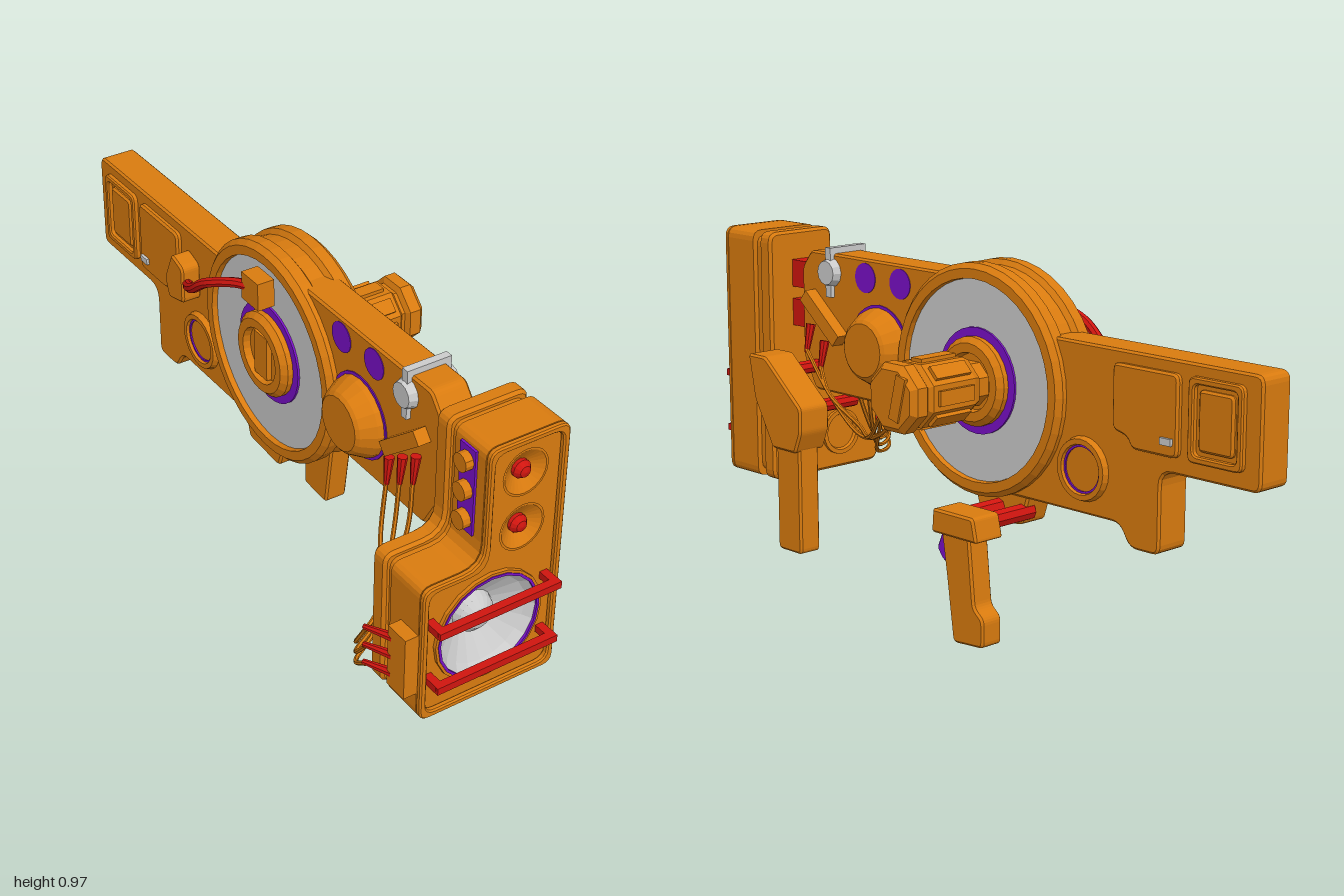
import * as THREE from 'three';

const material = (color) => new THREE.MeshStandardMaterial({ color, flatShading: true, side: THREE.DoubleSide });
const ORANGE = material(0xd97b0f), RED = material(0xd0150f), PURPLE = material(0x7a10c8), GREY = material(0xcccccc);
const CX = -0.013; // middle plane of the body

// Closed outline with softened corners; each point may carry its own radius.
function rounded(points, r, Type = THREE.Shape) {
  const path = new Type();
  const v = points.map(p => new THREE.Vector2(p[0], p[1]));
  v.forEach((p, i) => {
    const a = v[(i + v.length - 1) % v.length], b = v[(i + 1) % v.length];
    const rad = points[i][2] ?? r;
    const toward = q => p.clone().add(q.clone().sub(p).setLength(Math.min(rad, p.distanceTo(q) * 0.45)));
    const s = toward(a), e = toward(b);
    if (i === 0) path.moveTo(s.x, s.y); else path.lineTo(s.x, s.y);
    path.quadraticCurveTo(p.x, p.y, e.x, e.y);
  });
  path.closePath();
  return path;
}

const extrude = (shape, depth, bevel = 0) => new THREE.ExtrudeGeometry(shape, {
  depth: depth - 2 * bevel, curveSegments: 4, bevelEnabled: bevel > 0,
  bevelSize: bevel, bevelThickness: bevel, bevelOffset: -bevel, bevelSegments: 1,
}).translate(0, 0, bevel);

export function createModel() {
  const model = new THREE.Group();
  const add = (name, geometry, mat = ORANGE) => {
    const mesh = new THREE.Mesh(geometry, mat);
    mesh.name = name;
    model.add(mesh);
    return mesh;
  };
  const box = (name, mat, w, h, d, x, y, z) => add(name, new THREE.BoxGeometry(w, h, d).translate(x, y, z), mat);
  // Side profile in (z, y), extruded from x0 to x1
  const side = (name, mat, pts, x0, x1, r = 0.015, bevel = 0.006) =>
    add(name, extrude(rounded(pts.map(([z, y, c]) => [-z, y, c]), r), x1 - x0, bevel).rotateY(Math.PI / 2).translate(x0, 0, 0), mat);
  // Turned part along x; profile is [radius, x]
  const turnX = (name, mat, profile, y, z, n = 32, phase = 0) =>
    add(name, new THREE.LatheGeometry(profile.map(p => new THREE.Vector2(...p)), n, phase).rotateZ(-Math.PI / 2).translate(0, y, z), mat);
  const rodX = (name, mat, r, x0, x1, y, z, n = 24) => turnX(name, mat, [[0, x0], [r, x0], [r, x1], [0, x1]], y, z, n);
  const turnZ = (name, mat, profile, x, y, n = 24) =>
    add(name, new THREE.LatheGeometry(profile.map(p => new THREE.Vector2(...p)), n).rotateX(Math.PI / 2).translate(x, y, 0), mat);
  const tube = (name, mat, pts, r, n = 6) =>
    add(name, new THREE.TubeGeometry(new THREE.CatmullRomCurve3(pts.map(p => new THREE.Vector3(...p))), 32, r, n), mat);
  // Tapered cable plug between two points
  const plug = (a, b, r = 0.014) => {
    const from = new THREE.Vector3(...a), to = new THREE.Vector3(...b), dir = to.clone().sub(from);
    const g = new THREE.CylinderGeometry(r * 0.5, r, dir.length(), 8);
    g.applyQuaternion(new THREE.Quaternion().setFromUnitVectors(new THREE.Vector3(0, 1, 0), dir.clone().normalize()));
    const m = from.add(to).multiplyScalar(0.5);
    add('cablePlug', g.translate(m.x, m.y, m.z), RED);
  };

  // Speaker cabinet: stepped outline, two slabs with a groove, raised front rim
  const outline = (i, Type) => rounded([
    [-0.3 + i, 0.245 + i], [0.1 - i, 0.245 + i], [0.1 - i, 0.972 - i],
    [-0.13 + i, 0.972 - i], [-0.13 + i, 0.645 - i, 0.06], [-0.3 + i, 0.645 - i]], 0.03, Type);
  const drivers = [[-0.1, 0.45, 0.15], [-0.015, 0.865, 0.062], [-0.015, 0.707, 0.062]];
  const baffle = outline(0);
  drivers.forEach(([x, y, r]) => baffle.holes.push(new THREE.Path().absarc(x, y, r, 0, Math.PI * 2, true)));
  add('cabinetBack', extrude(outline(0), 0.05, 0.008).translate(0, 0, 0.748));
  add('cabinetGroove', extrude(outline(0.015), 0.04).translate(0, 0, 0.793));
  add('cabinetFront', extrude(baffle, 0.115).translate(0, 0, 0.825));
  const rim = outline(0);
  rim.holes.push(outline(0.018, THREE.Path));
  add('cabinetRim', extrude(rim, 0.018, 0.004).translate(0, 0, 0.939));
  turnZ('woofer', GREY, [[0.142, 0.945], [0.125, 0.925], [0.057, 0.88], [0.05, 0.9], [0.03, 0.917], [0, 0.924]], -0.1, 0.45, 20);
  turnZ('wooferTrim', PURPLE, [[0.142, 0.935], [0.142, 0.952], [0.149, 0.952], [0.149, 0.935]], -0.1, 0.45, 20);
  turnZ('wooferFrame', ORANGE, [[0.148, 0.935], [0.148, 0.95], [0.156, 0.95], [0.156, 0.935]], -0.1, 0.45, 20);
  for (const [x, y] of drivers.slice(1)) {
    turnZ('tweeterCone', ORANGE, [[0.066, 0.943], [0.06, 0.943], [0.025, 0.92], [0, 0.92]], x, y);
    turnZ('tweeterDome', RED, [[0.025, 0.91], [0.025, 0.93], [0.015, 0.943], [0, 0.947]], x, y, 12);
  }
  for (const y of [0.53, 0.363])
    for (const [w, d, x, z] of [[0.355, 0.022, -0.103, 0.987], [0.022, 0.06, -0.27, 0.96], [0.022, 0.06, 0.063, 0.96]])
      box('grilleBar', RED, w, 0.02, d, x, y, z);
  turnZ('rearPort', ORANGE, [[0.05, 0.75], [0.055, 0.738], [0.068, 0.738], [0.068, 0.75]], -0.15, 0.355);
  turnZ('rearPortFloor', ORANGE, [[0.052, 0.747], [0, 0.747]], -0.15, 0.355);

  // Cabinet side controls and cable socket
  box('controlStrip', PURPLE, 0.008, 0.24, 0.06, -0.132, 0.828, 0.88);
  for (const y of [0.91, 0.828, 0.745]) rodX('controlKnob', ORANGE, 0.025, -0.158, -0.12, y, 0.88, 12);
  box('socketBox', ORANGE, 0.05, 0.18, 0.07, -0.312, 0.415, 0.905);

  // Struts joining cabinet and body
  for (const y of [0.85, 0.737]) box('strut', RED, 0.065, 0.078, 0.14, CX, y, 0.71);

  // Body and stock
  const half = 0.052, x0 = CX - half, x1 = CX + half;
  side('frontBody', ORANGE, [[0.68, 0.88], [0.64, 0.93], [0, 0.93], [0, 0.53], [0.63, 0.53], [0.68, 0.62]], x0, x1);
  side('stock', ORANGE, [[-0.1, 0.812], [-0.998, 0.812], [-0.998, 0.527], [-0.685, 0.527, 0.04], [-0.685, 0.31],
    [-0.585, 0.31], [-0.55, 0.368], [-0.1, 0.368]], x0, x1, 0.025);
  side('underBlock', ORANGE, [[0, 0.42], [-0.05, 0.28], [-0.2, 0.29], [-0.24, 0.42]], CX - 0.045, CX + 0.045);

  // Stock panels on both sides
  side('stockPanel', ORANGE, [[-0.535, 0.78], [-0.75, 0.78], [-0.75, 0.57], [-0.6, 0.57], [-0.585, 0.6], [-0.535, 0.61]], CX - 0.067, CX + 0.067, 0.02);
  box('panelLatch', GREY, 0.15, 0.018, 0.035, CX, 0.61, -0.718);
  const frame = rounded([[0.78, 0.57], [0.95, 0.57], [0.95, 0.782], [0.78, 0.782]], 0.02);
  frame.holes.push(rounded([[0.798, 0.588], [0.932, 0.588], [0.932, 0.764], [0.798, 0.764]], 0.015, THREE.Path));
  add('stockFrame', extrude(frame, 0.134, 0.004).rotateY(Math.PI / 2).translate(CX - 0.067, 0, 0));
  side('stockFramePad', ORANGE, [[-0.81, 0.6], [-0.92, 0.6], [-0.92, 0.752], [-0.81, 0.752]], CX - 0.063, CX + 0.063, 0.015);

  // Mirrored turned profile about the middle plane
  const through = (name, mat, prof, y, z, n) =>
    turnX(name, mat, [...prof.map(([r, h]) => [r, CX - h]), ...prof.slice().reverse().map(([r, h]) => [r, CX + h])], y, z, n);
  through('stockDial', ORANGE, [[0, 0.056], [0.062, 0.056], [0.066, 0.068], [0.08, 0.068], [0.086, 0.05]], 0.487, -0.43, 24);
  through('stockDialTrim', PURPLE, [[0.058, 0.05], [0.058, 0.06], [0.064, 0.06]], 0.487, -0.43, 24);
  through('frontDome', ORANGE, [[0, 0.118], [0.075, 0.118], [0.085, 0.11], [0.108, 0.07], [0.112, 0.05]], 0.69, 0.348, 20);
  through('frontDomeTrim', PURPLE, [[0, 0.055], [0.119, 0.055]], 0.69, 0.348, 24);
  for (const z of [0.405, 0.262]) through('purpleDisc', PURPLE, [[0, 0.054], [0.042, 0.054]], 0.877, z, 20);
  through('greyKnob', GREY, [[0, 0.075], [0.034, 0.075], [0.042, 0.05]], 0.877, 0.55, 12);
  box('greyKnobBar', GREY, 0.13, 0.14, 0.022, CX, 0.877, 0.55);

  // Wheel with twin rims and recessed faces
  const WY = 0.66, WZ = -0.055;
  through('wheelRim', ORANGE, [[0.27, 0.06], [0.272, 0.08], [0.298, 0.08], [0.312, 0.065], [0.312, 0.032], [0.298, 0.022]], WY, WZ, 40);
  through('wheelFace', GREY, [[0, 0.064], [0.273, 0.064]], WY, WZ, 40);
  through('wheelRing', PURPLE, [[0, 0.07], [0.143, 0.07]], WY, WZ, 32);
  through('wheelHub', ORANGE, [[0, 0.08], [0.075, 0.08], [0.08, 0.1], [0.105, 0.1], [0.12, 0.085], [0.12, 0.06]], WY, WZ, 24);
  box('hubKey', ORANGE, 0.03, 0.13, 0.06, CX - 0.08, WY, WZ);

  // Motor on the left of the wheel
  turnX('motor', ORANGE, [[0, 0.05], [0.062, 0.05], [0.062, 0.115], [0.078, 0.115], [0.09, 0.14], [0.09, 0.285], [0.078, 0.295],
    [0.078, 0.305], [0.096, 0.312], [0.096, 0.345], [0.08, 0.36], [0, 0.36]], 0.657, WZ, 8, Math.PI / 8);
  for (const a of [0, 1, 2, 3]) {
    const fin = box('motorFin', ORANGE, 0.12, 0.186, 0.04, 0, 0, 0);
    fin.position.set(0.21, 0.657, WZ);
    fin.rotation.x = a * Math.PI / 4;
  }
  const key = box('motorEndPlate', ORANGE, 0.01, 0.12, 0.035, 0, 0, 0);
  key.position.set(0.36, 0.662, WZ - 0.03);
  key.rotation.x = -0.25;

  // Foregrip with pegs
  side('foregrip', ORANGE, [[0.675, 0.655], [0.6, 0.655], [0.45, 0.53], [0.45, 0.46], [0.475, 0.4], [0.575, 0.4], [0.65, 0.53]], 0.14, 0.245, 0.01);
  side('foregripHandle', ORANGE, [[0.575, 0.45], [0.575, 0.105], [0.473, 0.105], [0.473, 0.45]], 0.16, 0.23);
  rodX('foregripPeg', RED, 0.019, 0, 0.15, 0.6, 0.62, 8);
  rodX('foregripPeg', RED, 0.019, 0, 0.15, 0.513, 0.505, 8);

  // Rear grip with trigger
  side('rearGripTop', ORANGE, [[-0.085, 0.355], [-0.235, 0.355], [-0.25, 0.29], [-0.08, 0.29]], 0.147, 0.245, 0.01);
  side('rearGrip', ORANGE, [[-0.1, 0.31], [-0.205, 0.31], [-0.225, 0.11], [-0.258, 0.085], [-0.258, 0.008], [-0.145, 0], [-0.12, 0.18]], 0.16, 0.23);
  side('trigger', PURPLE, [[-0.09, 0.29], [-0.13, 0.29], [-0.13, 0.2], [-0.09, 0.21], [-0.068, 0.24]], 0.175, 0.215, 0.01);
  for (const z of [-0.115, -0.2]) rodX('rearGripPeg', RED, 0.024, 0, 0.155, 0.325, z, 8);

  // Slanted socket bar through the front body
  const bar = box('socketBar', ORANGE, 0.178, 0.04, 0.18, 0, 0, 0);
  bar.position.set(CX, 0.748, 0.565);
  bar.rotation.x = -0.69;

  // Cables from the cabinet socket to the right end of the socket bar
  [0.62, 0.565, 0.51].forEach((z, i) => {
    const y = 0.73 - i * 0.035, py = 0.47 - i * 0.055;
    plug([-0.088, y + 0.01, z], [-0.095, y - 0.07, z]);
    plug([-0.32, py, 0.895], [-0.357, py - 0.01, 0.8]);
    tube('cable', ORANGE, [[-0.095, y - 0.06, z], [-0.115, y - 0.2, z + 0.01], [-0.22, 0.34 - i * 0.02, 0.66],
      [-0.33, 0.29 + (2 - i) * 0.03, 0.73], [-0.357, py - 0.01, 0.81]], 0.006);
  });

  // Cables from the socket bar to the motor
  [[0.2, 0.61], [0.275, 0.55]].forEach(([x, z], i) => {
    const y = 0.715 - i * 0.04;
    plug([0.068, y + 0.01, z], [0.085, y - 0.07, z]);
    plug([x, 0.64, 0.015], [x + 0.005, 0.585, 0.075], 0.018);
    tube('motorCable', ORANGE, [[0.085, y - 0.06, z], [0.1, 0.55, 0.5], [0.125, 0.46 + i * 0.025, 0.34],
      [0.17 + i * 0.04, 0.49, 0.2], [x + 0.005, 0.59, 0.068]], 0.006);
  });

  // Red hose bridging wheel and stock on the right side
  box('hoseSocketFront', ORANGE, 0.05, 0.08, 0.08, -0.11, 0.865, -0.06);
  side('hoseSocketRear', ORANGE, [[-0.44, 0.73], [-0.5, 0.75], [-0.54, 0.66], [-0.52, 0.6], [-0.44, 0.62]], -0.12, -0.06);
  tube('hose', RED, [[-0.115, 0.865, -0.07], [-0.135, 0.86, -0.12], [-0.17, 0.82, -0.22], [-0.165, 0.76, -0.3], [-0.115, 0.69, -0.42], [-0.09, 0.67, -0.46]], 0.014, 8);

  return model;
}
